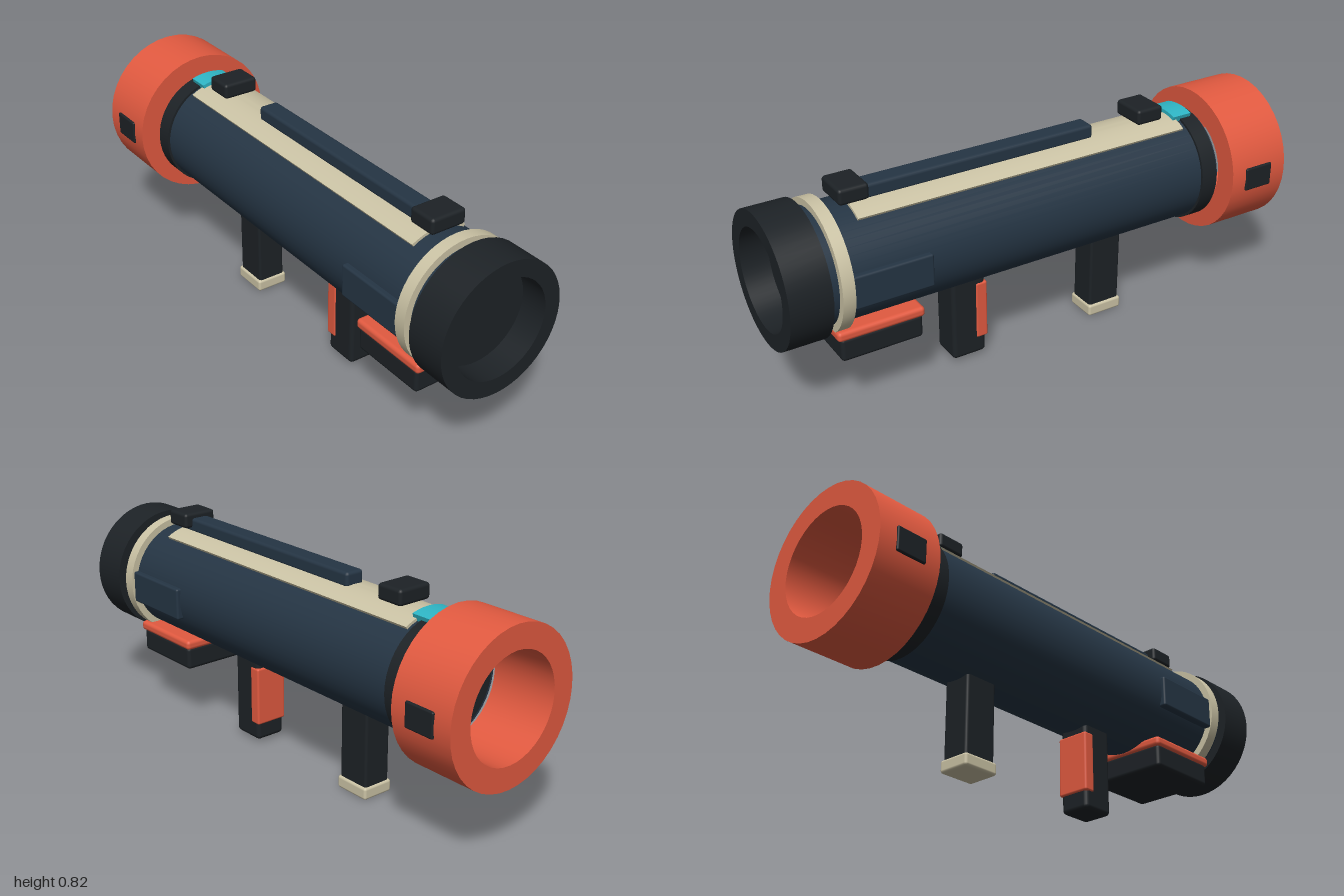
import * as THREE from 'three';
import { toCreasedNormals } from 'three/addons/utils/BufferGeometryUtils.js';
import { RoundedBoxGeometry } from 'three/addons/geometries/RoundedBoxGeometry.js';

const AXIS = 0.537; // height of the tube axis

const paint = (color) => new THREE.MeshStandardMaterial({ color });

export function createModel() {
  const model = new THREE.Group();
  const navy = paint(0x253544);
  const black = paint(0x1d2226);
  const orange = paint(0xe25a40);
  const ivory = paint(0xcbc3a5);
  const teal = paint(0x2fb6c6);

  const add = (name, geometry, material) => {
    const mesh = new THREE.Mesh(geometry, material);
    mesh.name = name;
    model.add(mesh);
    return mesh;
  };

  // Rounded block given by its extents on each axis
  const block = (name, material, [x0, x1], [y0, y1], [z0, z1], r = 0.012) => {
    const g = new RoundedBoxGeometry(x1 - x0, y1 - y0, z1 - z0, 2, r);
    g.translate((x0 + x1) / 2, (y0 + y1) / 2, (z0 + z1) / 2);
    return add(name, g, material);
  };

  // Solid of revolution about the tube axis; profile is [radius, z]
  const turned = (name, material, profile, sides = 48) => {
    const points = profile.map(([r, z]) => new THREE.Vector2(r, z));
    const g = toCreasedNormals(new THREE.LatheGeometry(points, sides), 0.5);
    g.rotateX(Math.PI / 2).translate(0, AXIS, 0);
    return add(name, g, material);
  };
  const drum = (name, material, r, z0, z1) =>
    turned(name, material, [[0, z0], [r, z0], [r, z1], [0, z1]]);
  const hollowRing = (name, material, r, hole, z0, z1, sides) =>
    turned(name, material, [[hole, z0], [r, z0], [r, z1], [hole, z1], [hole, z0]], sides);

  // Curved plate wrapped over the top of the tube
  const topPlate = (name, material, halfWidth, r0, r1, z0, z1) => {
    const a = Math.asin(halfWidth / r1);
    const shape = new THREE.Shape();
    shape.absarc(0, 0, r1, Math.PI / 2 - a, Math.PI / 2 + a, false);
    shape.absarc(0, 0, r0, Math.PI / 2 + a, Math.PI / 2 - a, true);
    const g = new THREE.ExtrudeGeometry(shape, { depth: z1 - z0, bevelEnabled: false, curveSegments: 12 });
    g.translate(0, AXIS, z0);
    return add(name, toCreasedNormals(g, 0.5), material);
  };

  // Tube and its rings
  drum('tube', navy, 0.208, -0.73, 0.88);
  drum('rearTubePlug', black, 0.195, -0.734, -0.72);
  drum('rearCollar', black, 0.217, -0.72, -0.655);
  drum('frontBand', ivory, 0.234, 0.77, 0.815);
  hollowRing('frontCap', black, 0.243, 0.182, 0.85, 1);
  drum('frontCapFloor', black, 0.19, 0.86, 0.9);
  hollowRing('rearRing', orange, 0.278, 0.192, -1, -0.75, 40);

  // Top strip, rail, sights and marker
  topPlate('topStrip', ivory, 0.109, 0.2, 0.218, -0.635, 0.69);
  topPlate('rearMarker', teal, 0.068, 0.2, 0.232, -0.7, -0.62);
  block('topRail', navy, [-0.038, 0.038], [0.745, 0.8], [-0.275, 0.69]);
  block('frontSight', black, [-0.069, 0.069], [0.762, 0.82], [0.625, 0.735]);
  block('rearSight', black, [-0.069, 0.069], [0.762, 0.82], [-0.565, -0.455]);

  // Mirrored side panels and ring studs
  for (const [side, s] of [['left', 1], ['right', -1]]) {
    const span = (a, b) => (s > 0 ? [a, b] : [-b, -a]);
    block(side + 'Panel', navy, span(0.18, 0.222), [0.463, 0.586], [0.478, 0.775], 0.008);
    block(side + 'RingStud', black, span(0.245, 0.283), [0.492, 0.582], [-0.932, -0.812], 0.006);
  }

  // Shoulder rest
  block('shoulderRest', black, [-0.163, 0.163], [0.237, 0.327], [0.5, 0.805], 0.014);
  block('shoulderPad', orange, [-0.17, 0.17], [0.32, 0.358], [0.492, 0.817], 0.014);

  // Front grip with its coloured back strip
  block('frontGrip', black, [-0.061, 0.061], [0.013, 0.36], [0.195, 0.33], 0.016);
  block('gripStrip', orange, [-0.065, 0.065], [0.08, 0.31], [0.188, 0.235], 0.008);

  // Rear leg with foot
  block('rearLeg', black, [-0.055, 0.055], [0.03, 0.36], [-0.405, -0.272], 0.01);
  block('rearFoot', ivory, [-0.063, 0.063], [0, 0.047], [-0.412, -0.266], 0.01);

  return model;
}
